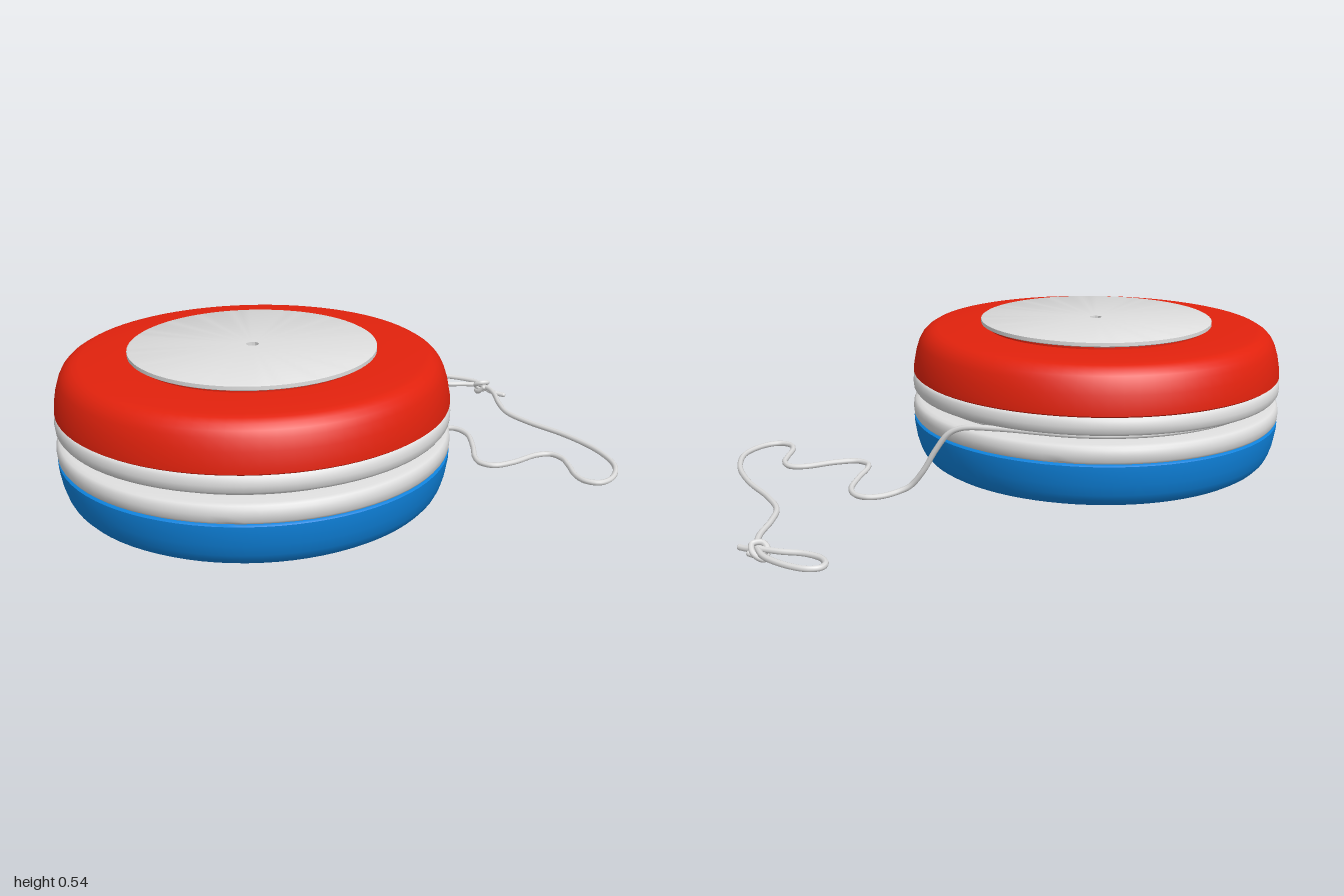
import * as THREE from 'three';
import { toCreasedNormals } from 'three/addons/utils/BufferGeometryUtils.js';

const MID = 0.285; // height of the mirror plane between the two halves

function material(name, color) {
  const m = new THREE.MeshStandardMaterial({ color });
  m.name = name;
  return m;
}

// Turns a bottom-to-top profile of [radius, y] into a solid; flip mirrors it about MID
function turned(name, profile, mat, flip = false) {
  let pts = profile.map(([r, y]) => new THREE.Vector2(r, flip ? 2 * MID - y : y));
  if (flip) pts = pts.reverse();
  const mesh = new THREE.Mesh(toCreasedNormals(new THREE.LatheGeometry(pts, 80), 0.65), mat);
  mesh.name = name;
  return mesh;
}

// Round string through [x, y, z] points, with rounded ends
function cord(name, points, mat, radius, segments) {
  const group = new THREE.Group();
  group.name = name;
  const curve = new THREE.CatmullRomCurve3(points.map(p => new THREE.Vector3(...p)));
  group.add(new THREE.Mesh(new THREE.TubeGeometry(curve, segments, radius, 8), mat));
  for (const t of [0, 1]) {
    const end = new THREE.Mesh(new THREE.SphereGeometry(radius, 8, 6), mat);
    end.position.copy(curve.getPoint(t));
    group.add(end);
  }
  return group;
}

export function createModel() {
  const red = material('red plastic', 0xe2220d);
  const blue = material('blue plastic', 0x0e82dc);
  const grey = material('light grey', 0xdedede);
  const model = new THREE.Group();
  const body = new THREE.Group();
  body.name = 'spool';
  body.position.set(-0.366, 0, -0.055);
  model.add(body);

  const shell = [[0.5, 0.36], [0.625, 0.36], [0.632, 0.365], [0.631, 0.385], [0.623, 0.43], [0.612, 0.465],
    [0.602, 0.484], [0.588, 0.499], [0.57, 0.51], [0.548, 0.514], [0.375, 0.514], [0.375, 0.526], [0.001, 0.526]];
  const ring = [[0.5, 0.299], [0.612, 0.299], [0.625, 0.303], [0.632, 0.312], [0.634, 0.33],
    [0.632, 0.35], [0.626, 0.358], [0.615, 0.362], [0.5, 0.362]];
  const disc = [[0.02, 0.525], [0.392, 0.525], [0.397, 0.528], [0.397, 0.54], [0.392, 0.543], [0.02, 0.543], [0.02, 0.525]];

  // Two mirrored halves: coloured shell, grey rim ring and side disc with a centre hole
  for (const flip of [false, true]) {
    const half = new THREE.Group();
    half.name = flip ? 'lowerHalf' : 'upperHalf';
    half.add(turned('shell', shell, flip ? blue : red, flip));
    half.add(turned('rimRing', ring, grey, flip));
    half.add(turned('sideDisc', disc, grey, flip));
    body.add(half);
  }

  // Axle end recessed in the disc holes, and the core inside the gap
  const axle = new THREE.Mesh(new THREE.CylinderGeometry(0.02, 0.02, 0.492, 20), grey);
  axle.name = 'axle';
  axle.position.y = MID;
  const core = new THREE.Mesh(new THREE.CylinderGeometry(0.54, 0.54, 0.1, 80, 1, true), grey);
  core.name = 'core';
  core.position.y = MID;
  const winding = new THREE.Mesh(new THREE.TorusGeometry(0.567, 0.0095, 8, 80), grey);
  winding.name = 'woundString';
  winding.rotation.x = Math.PI / 2;
  winding.position.y = MID;
  body.add(axle, core, winding);

  // Loose string: leaves the gap at a tangent, drops, then snakes along the ground
  const drop = [[0.08, 0.285, -0.405], [0.18, 0.285, -0.295], [0.255, 0.275, -0.205], [0.285, 0.25, -0.17],
    [0.313, 0.19, -0.135], [0.34, 0.115, -0.1], [0.37, 0.058, -0.063], [0.405, 0.04, -0.045]];
  const snake = [[0.46, -0.042], [0.51, -0.025], [0.53, 0.01], [0.52, 0.07], [0.445, 0.17], [0.38, 0.24],
    [0.358, 0.285], [0.375, 0.333], [0.447, 0.36], [0.56, 0.372], [0.602, 0.4], [0.602, 0.45], [0.57, 0.505],
    [0.518, 0.58], [0.507, 0.63], [0.53, 0.67], [0.585, 0.676], [0.68, 0.622], [0.752, 0.49], [0.783, 0.32],
    [0.783, 0.135], [0.8, 0.02], [0.853, -0.07], [0.92, -0.155], [0.95, -0.21], [0.962, -0.265]];
  model.add(cord('string', [...drop, ...snake.map(([x, z]) => [x, 0.034, z])], grey, 0.0095, 260));

  // Finger loop, knot and loose tail
  const loop = [[0.962, -0.265], [0.92, -0.315], [0.865, -0.365], [0.838, -0.42], [0.843, -0.465], [0.868, -0.485],
    [0.9, -0.475], [0.933, -0.435], [0.965, -0.365], [0.975, -0.315], [0.968, -0.26]];
  model.add(cord('fingerLoop', loop.map(([x, z]) => [x, 0.034, z]), grey, 0.0095, 72));
  model.add(cord('knot', [[0.945, 0.034, -0.235], [0.94, 0.012, -0.26], [0.965, 0.01, -0.29], [0.988, 0.03, -0.275],
    [0.978, 0.046, -0.245], [0.95, 0.048, -0.255], [0.945, 0.034, -0.28], [0.97, 0.014, -0.262], [0.99, 0.02, -0.25]],
  grey, 0.0095, 60));
  model.add(cord('stringTail', [[0.962, 0.03, -0.255], [0.968, 0.018, -0.22], [0.98, 0.012, -0.19], [0.989, 0.01, -0.166]],
    grey, 0.0095, 16));
  return model;
}
